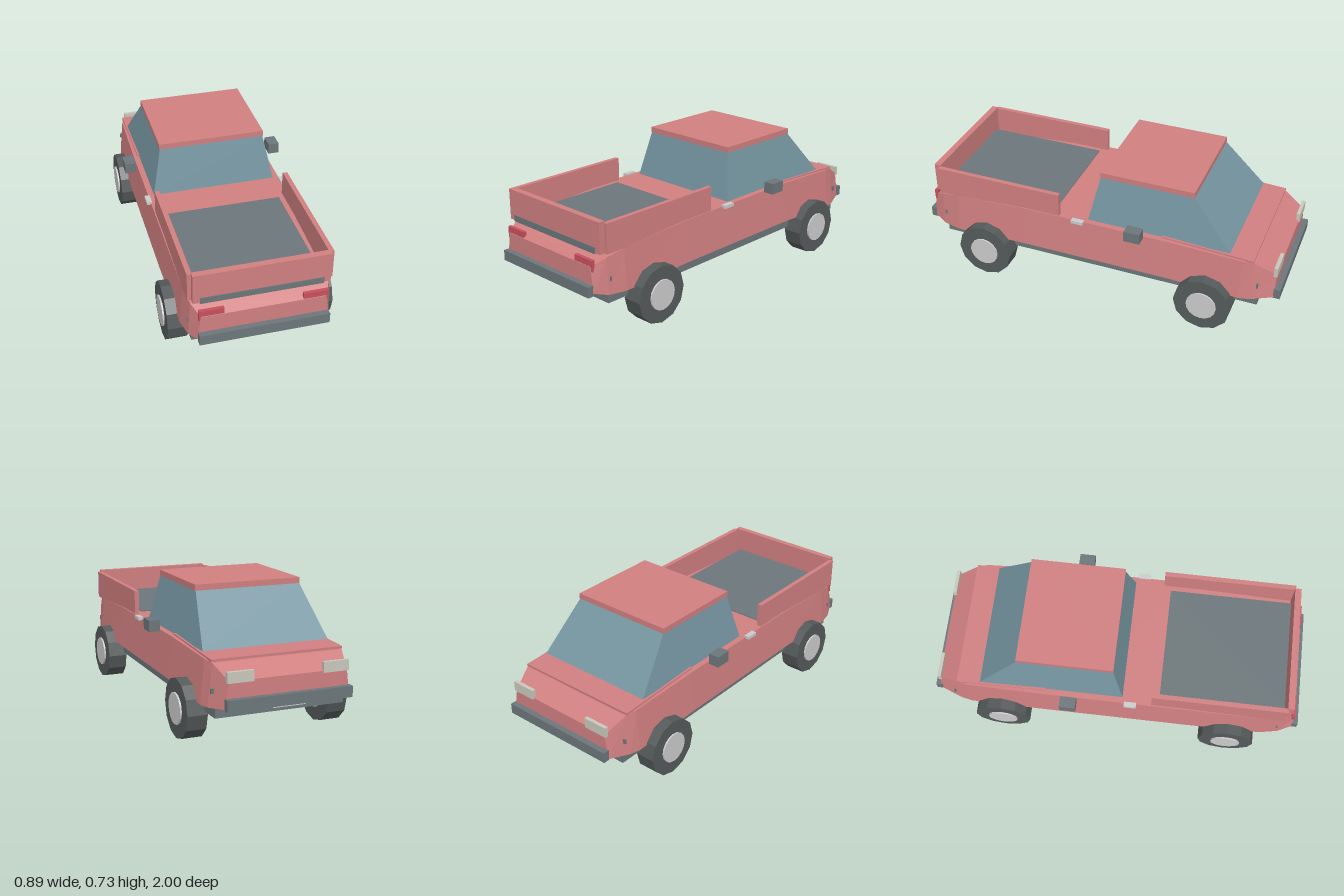
import * as THREE from 'three';

const mat = (color) => new THREE.MeshStandardMaterial({ color, flatShading: true });
const paint = mat(0xd07f80), glass = mat(0x7595a0), trim = mat(0x6c767a);
const rubber = mat(0x555a5a), silver = mat(0xcccccc), red = mat(0xc8505c), lamp = mat(0xc8c8bc);

function add(parent, name, geometry, material) {
  const mesh = new THREE.Mesh(geometry, material);
  mesh.name = name;
  parent.add(mesh);
  return mesh;
}

// Box given by its limits on each axis
function box(parent, name, material, [x0, x1], [y0, y1], [z0, z1]) {
  const mesh = add(parent, name, new THREE.BoxGeometry(x1 - x0, y1 - y0, z1 - z0), material);
  mesh.position.set((x0 + x1) / 2, (y0 + y1) / 2, (z0 + z1) / 2);
  return mesh;
}

// Limits mirrored to the left (+1) or right (-1) side
const side = (s, a, b) => (s > 0 ? [a, b] : [-b, -a]);

// Four-cornered sections joined along z: [z, top half width, bottom half width, top y, bottom y]
function loft(stations) {
  const rings = stations.map(([z, t, b, yt, yb]) => [[t, yt, z], [-t, yt, z], [-b, yb, z], [b, yb, z]]);
  const pos = [];
  const quad = (a, b, c, d) => pos.push(...a, ...b, ...c, ...a, ...c, ...d);
  for (let i = 0; i + 1 < rings.length; i++) {
    for (let k = 0; k < 4; k++) {
      const n = (k + 1) % 4;
      quad(rings[i][k], rings[i + 1][k], rings[i + 1][n], rings[i][n]);
    }
  }
  quad(...rings[0]);
  quad(...rings[rings.length - 1].slice().reverse());
  const g = new THREE.BufferGeometry();
  g.setAttribute('position', new THREE.Float32BufferAttribute(pos, 3));
  g.computeVertexNormals();
  return g;
}

function cabinGeometry() {
  const g = new THREE.BoxGeometry(1, 1, 1).toNonIndexed();
  const p = g.attributes.position;
  for (let i = 0; i < p.count; i++) {
    const top = p.getY(i) > 0, rear = p.getZ(i) > 0;
    const z = top ? (rear ? -0.015 : -0.515) : (rear ? 0.04 : -0.73);
    p.setXYZ(i, Math.sign(p.getX(i)) * (top ? 0.283 : 0.335), top ? 0.706 : 0.455, z);
  }
  g.computeVertexNormals();
  return g;
}

function wheel(parent, s, z) {
  const g = new THREE.Group();
  g.name = 'wheel';
  g.position.set(s * 0.378, 0.156, z);
  parent.add(g);
  const tyre = add(g, 'tyre', new THREE.CylinderGeometry(0.152, 0.152, 0.104, 12), rubber);
  const hub = add(g, 'hub', new THREE.CylinderGeometry(0.08, 0.08, 0.118, 16), silver);
  // axis along x, with a corner of the tyre pointing straight up
  tyre.rotation.z = hub.rotation.z = Math.PI / 2;
  hub.position.x = s * 0.002;
}

export function createModel() {
  const model = new THREE.Group();
  model.name = 'pickupTruck';

  // Main shell and chassis
  add(model, 'body', loft([
    [0.97, 0.31, 0.328, 0.376, 0.245],
    [0.9, 0.345, 0.358, 0.412, 0.225],
    [0.8, 0.36, 0.376, 0.435, 0.22],
    [0.4, 0.366, 0.386, 0.459, 0.24],
    [-0.4, 0.366, 0.386, 0.459, 0.24],
    [-0.8, 0.355, 0.376, 0.438, 0.217],
    [-0.86, 0.34, 0.365, 0.43, 0.22],
    [-0.97, 0.305, 0.325, 0.366, 0.235],
  ]), paint);
  box(model, 'chassis', trim, [-0.34, 0.34], [0.172, 0.24], [-0.89, 0.89]);

  // Hood panel, sloping gently to the nose
  const hood = box(model, 'hood', paint, [-0.345, 0.345], [0.444, 0.456], [-0.855, -0.37]);
  hood.rotation.x = -0.045;

  // Cabin
  add(model, 'cabinGlass', cabinGeometry(), glass);
  box(model, 'roof', paint, [-0.286, 0.286], [0.704, 0.734], [-0.517, -0.013]);

  // Cargo bed
  box(model, 'bedFloor', trim, [-0.306, 0.306], [0.43, 0.463], [0.235, 0.938]);
  box(model, 'tailgate', paint, [-0.34, 0.34], [0.434, 0.595], [0.9, 0.934]);
  for (const s of [1, -1]) {
    box(model, 'bedWall', paint, side(s, 0.335, 0.36), [0.434, 0.587], [0.195, 0.905]);
  }

  // Bumpers and plates at both ends
  for (const s of [1, -1]) {
    box(model, 'bumper', trim, [-0.325, 0.325], [0.23, 0.285], side(s, 0.965, 1));
    box(model, 'plate', silver, [-0.083, 0.083], [0.218, 0.27], side(s, 0.968, 0.978));
  }

  // Parts mirrored left and right
  for (const s of [1, -1]) {
    box(model, 'tailLight', red, side(s, 0.196, 0.32), [0.35, 0.408], [0.95, 0.968]);
    box(model, 'headlight', lamp, side(s, 0.18, 0.315), [0.357, 0.41], [-0.974, -0.955]);
    box(model, 'mirror', trim, side(s, 0.385, 0.444), [0.463, 0.522], [-0.285, -0.2]);
    box(model, 'doorHandle', silver, side(s, 0.36, 0.388), [0.452, 0.469], [0.05, 0.115]);
    for (const z of [0.885, -0.885]) {
      box(model, 'sideMarker', trim, side(s, 0.34, 0.36), [0.292, 0.316], [z - 0.004, z + 0.004]);
    }
    for (const z of [0.622, -0.622]) wheel(model, s, z);
  }
  return model;
}
